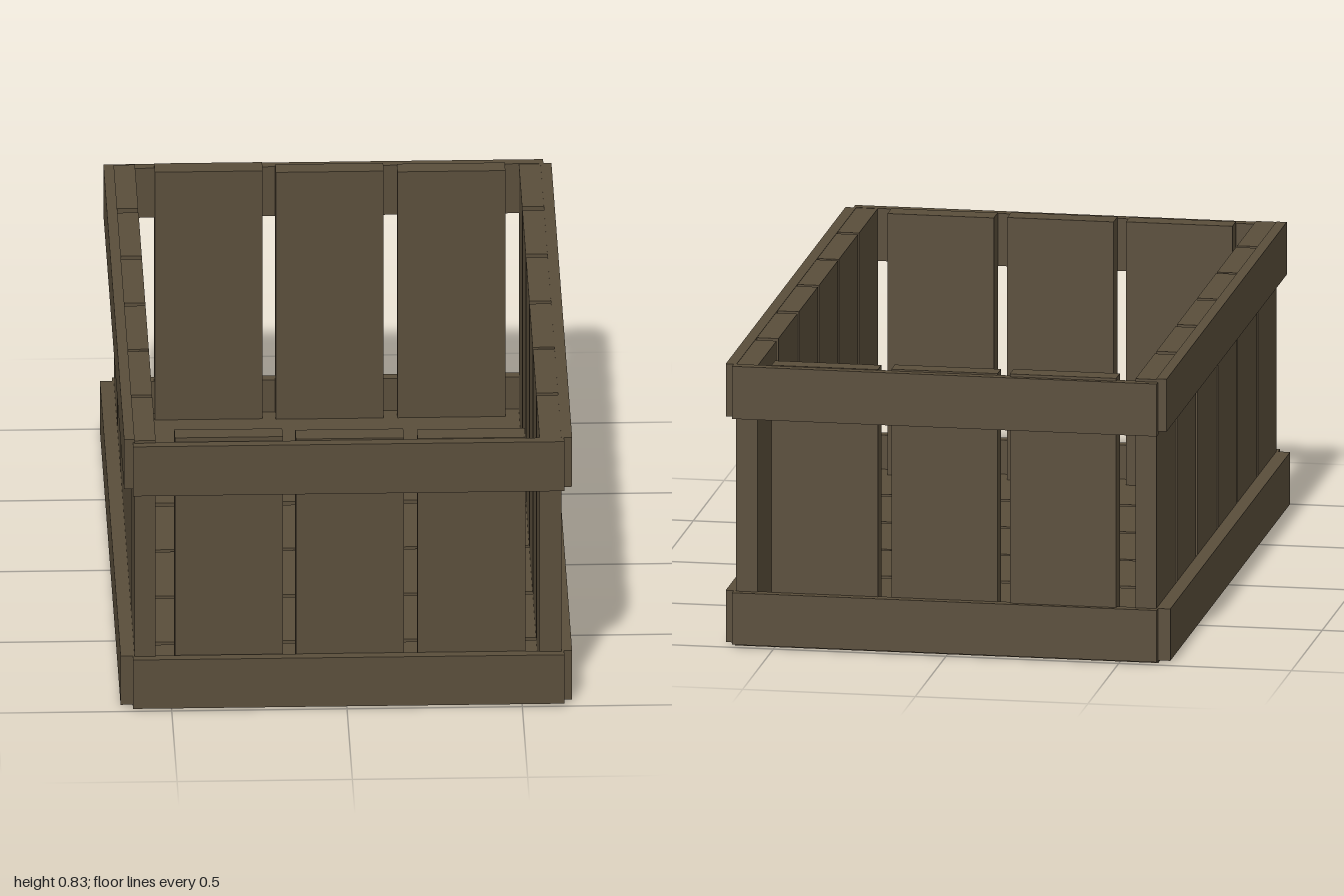
import * as THREE from 'three';

export function createModel() {
  const crate = new THREE.Group();
  crate.name = 'crate';
  const wood = new THREE.MeshStandardMaterial({ color: 0x5a4e3b });
  wood.name = 'weathered wood';

  // Plank given by its extents along each axis
  function plank(name, [x0, x1], [y0, y1], [z0, z1]) {
    const mesh = new THREE.Mesh(new THREE.BoxGeometry(x1 - x0, y1 - y0, z1 - z0), wood);
    mesh.name = name;
    mesh.position.set((x0 + x1) / 2, (y0 + y1) / 2, (z0 + z1) / 2);
    crate.add(mesh);
  }

  // Floor boards, laid across the crate
  const floorSpans = [[-0.975, -0.673], [-0.645, -0.335], [-0.312, -0.005],
    [0.01, 0.322], [0.34, 0.647], [0.667, 0.97]];
  for (const z of floorSpans) plank('floorBoard', [-0.61, 0.615], [0, 0.06], z);

  // Upright boards along both long sides
  const sideSpans = [[-0.978, -0.668], [-0.639, -0.332], [-0.307, 0],
    [0.02, 0.328], [0.342, 0.651], [0.669, 0.975]];
  for (const z of sideSpans) {
    plank('leftSideBoard', [0.55, 0.612], [0.06, 0.823], z);
    plank('rightSideBoard', [-0.605, -0.545], [0.06, 0.832], z);
  }

  // Upright boards at both ends; the first sits slightly askew
  const endBoards = [
    { x: [-0.49, -0.182], top: 0.832, front: [0.9, 0.958], back: [-0.985, -0.923] },
    { x: [-0.145, 0.163], top: 0.829, front: [0.905, 0.97], back: [-0.975, -0.918] },
    { x: [0.202, 0.51], top: 0.826, front: [0.905, 0.97], back: [-0.975, -0.918] },
  ];
  for (const { x, top, front, back } of endBoards) {
    plank('frontBoard', x, [0.06, top], front);
    plank('backBoard', x, [0.06, top], back);
  }

  // Lower and upper rails wrapped around the outside
  for (const [name, y] of [['lower', [0.008, 0.16]], ['upper', [0.67, 0.824]]]) {
    plank(name + 'FrontRail', [-0.61, 0.62], y, [0.97, 1]);
    plank(name + 'BackRail', [-0.61, 0.62], y, [-1, -0.97]);
    plank(name + 'LeftRail', [0.612, 0.643], y, [-0.972, 0.97]);
  }
  plank('lowerRightRail', [-0.645, -0.605], [0.008, 0.16], [-0.975, 0.97]);
  plank('upperRightRail', [-0.635, -0.605], [0.68, 0.834], [-0.978, 0.97]);

  return crate;
}
